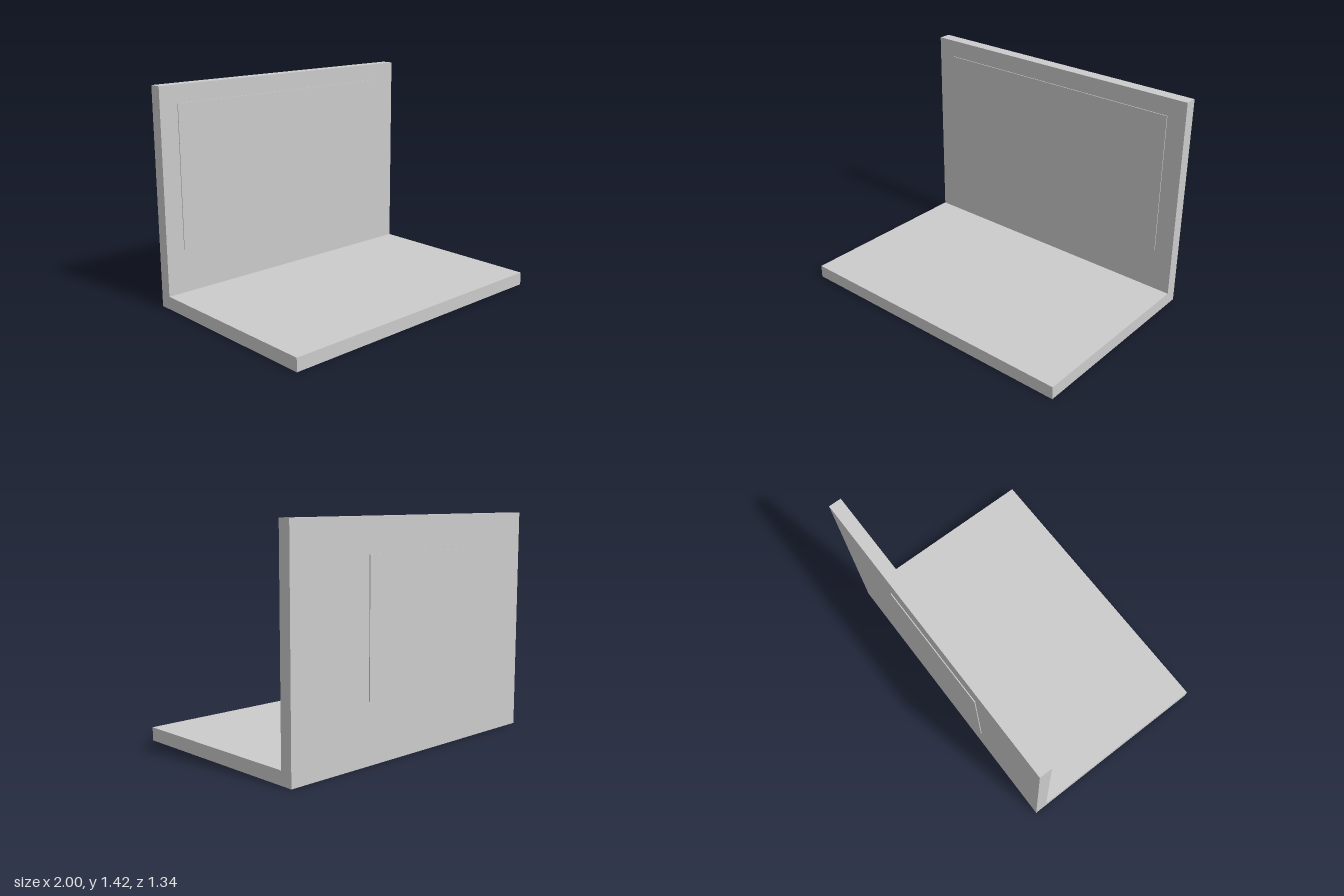
import * as THREE from 'three';

const material = new THREE.MeshStandardMaterial({ color: 0xcccccc });

export function createModel() {
  const group = new THREE.Group();

  function addPart(name, geometry) {
    const mesh = new THREE.Mesh(geometry, material);
    mesh.name = name;
    group.add(mesh);
    return mesh;
  }

  // L-shaped body: flat base and upright back wall, profile drawn as (-z, y)
  const profile = new THREE.Shape([
    [-0.668, 0], [0.662, 0], [0.662, 1.42], [0.58, 1.42], [0.58, 0.085], [-0.668, 0.085],
  ].map(([u, y]) => new THREE.Vector2(u, y)));
  const body = new THREE.ExtrudeGeometry(profile, { depth: 2, bevelEnabled: false });
  body.translate(0, 0, -1);
  body.rotateY(Math.PI / 2);
  addPart('baseAndBackWall', body);

  // Thin raised panels, sunk slightly into the wall
  function addPanel(name, width, y0, y1, z0, z1) {
    const panel = addPart(name, new THREE.BoxGeometry(width, y1 - y0, z1 - z0));
    panel.position.set(0, (y0 + y1) / 2, (z0 + z1) / 2);
  }
  addPanel('frontPanel', 1.75, 0.368, 1.305, -0.6, -0.574);
  addPanel('rearPanel', 0.83, 0.378, 1.21, -0.668, -0.64);

  return group;
}
